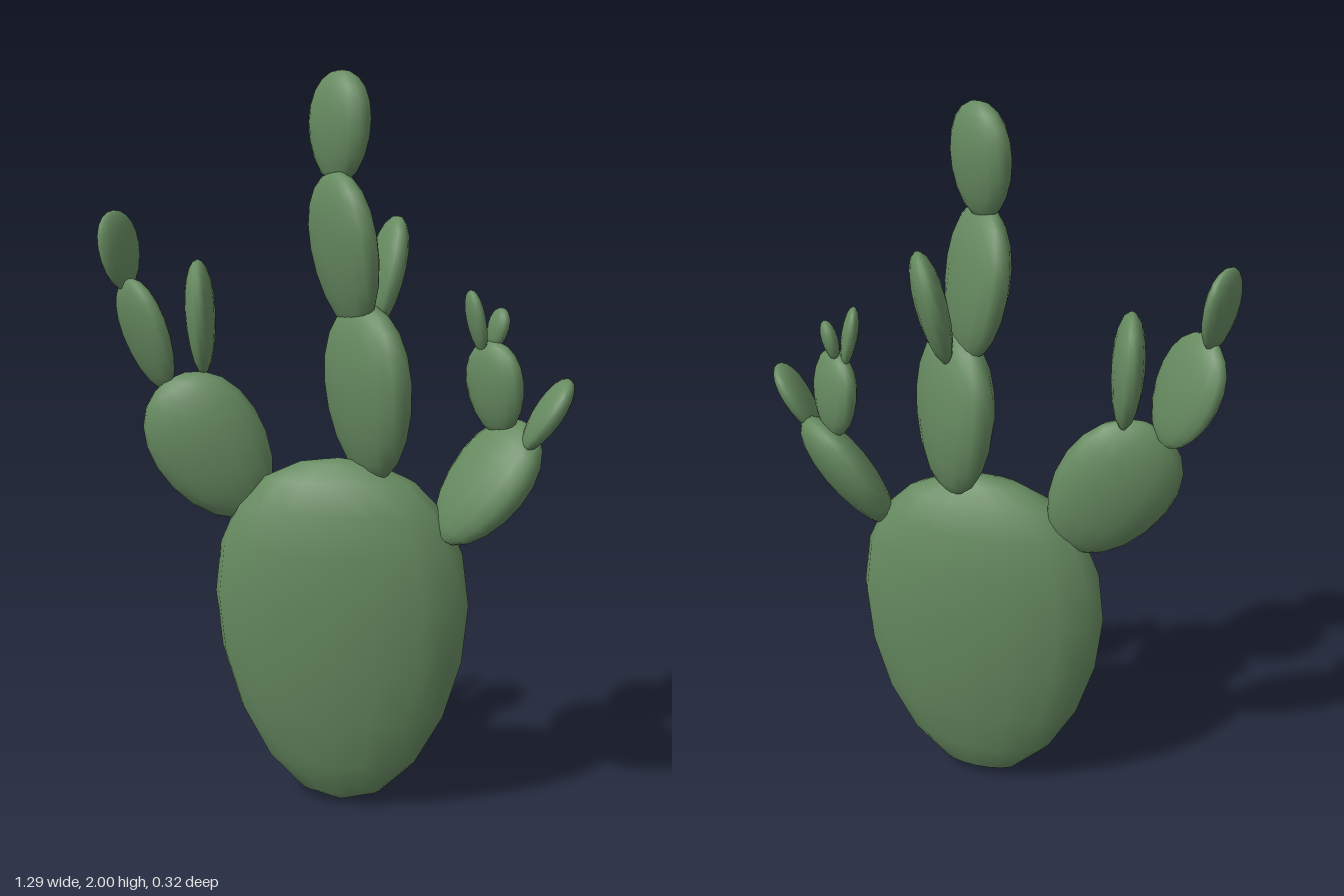
import * as THREE from 'three';
import { mergeVertices } from 'three/addons/utils/BufferGeometryUtils.js';

const material = new THREE.MeshStandardMaterial({ color: 0x668a60 });

// Flattened egg standing on the origin, one unit high; bulge lifts the widest ring above the middle
function padGeometry(length, halfWidth, halfThick, bulge) {
  let geo = new THREE.SphereGeometry(1, 16, 10);
  const pos = geo.attributes.position;
  for (let i = 0; i < pos.count; i++) {
    const s = pos.getY(i);
    const t = 0.5 + 0.5 * s + bulge * (1 - s * s);
    pos.setXYZ(i, pos.getX(i) * halfWidth, t * length, pos.getZ(i) * halfThick);
  }
  geo.deleteAttribute('uv');
  geo.deleteAttribute('normal');
  geo = mergeVertices(geo, 1e-5);
  geo.computeVertexNormals();
  return geo;
}

// A pad grows from base to tip; yaw (degrees) turns its broad side from +x towards +z
function makePad([name, base, tip, halfWidth, halfThick, yaw, bulge = 0.06]) {
  const from = new THREE.Vector3(...base);
  const axis = new THREE.Vector3(...tip).sub(from);
  const length = axis.length();
  axis.normalize();
  const a = THREE.MathUtils.degToRad(yaw);
  const across = new THREE.Vector3(Math.cos(a), 0, Math.sin(a));
  across.addScaledVector(axis, -across.dot(axis)).normalize();
  const normal = new THREE.Vector3().crossVectors(across, axis);

  const mesh = new THREE.Mesh(padGeometry(length, halfWidth, halfThick, bulge), material);
  mesh.name = name;
  mesh.quaternion.setFromRotationMatrix(new THREE.Matrix4().makeBasis(across, axis, normal));
  mesh.position.copy(from);
  return mesh;
}

// name, base, tip, half width, half thickness, yaw, bulge
const branches = {
  trunk: [
    ['trunkPad', [0.02, 0, 0.015], [0.015, 0.98, 0.015], 0.357, 0.14, 0, 0.1],
  ],
  middleBranch: [
    ['middleLowerPad', [0.11, 0.92, 0.01], [0.075, 1.4, 0.01], 0.185, 0.077, 45],
    ['middleUpperPad', [0.065, 1.325, 0.01], [-0.01, 1.74, 0], 0.165, 0.06, 50],
    ['middleTopPad', [0.01, 1.705, 0], [0.01, 2.0, -0.015], 0.112, 0.052, 36],
    ['middleSidePad', [0.1, 1.32, -0.03], [0.15, 1.625, -0.09], 0.11, 0.042, 62],
  ],
  rightBranch: [
    ['rightLowerPad', [-0.232, 0.81, 0], [-0.464, 1.18, 0.03], 0.16, 0.072, -12],
    ['rightOuterPad', [-0.475, 1.15, 0.01], [-0.59, 1.45, 0.01], 0.12, 0.042, 42],
    ['rightTopPad', [-0.59, 1.42, 0.01], [-0.62, 1.637, 0.01], 0.077, 0.03, -70],
    ['rightInnerPad', [-0.375, 1.19, -0.01], [-0.395, 1.505, -0.03], 0.117, 0.042, 72],
  ],
  leftBranch: [
    ['leftLowerPad', [0.3, 0.775, 0.04], [0.53, 1.085, 0], 0.145, 0.066, 42],
    ['leftUpperPad', [0.445, 1.055, -0.015], [0.415, 1.305, -0.015], 0.103, 0.043, 40],
    ['leftTopPad', [0.395, 1.27, -0.02], [0.36, 1.435, -0.02], 0.056, 0.022, 65],
    ['leftBudPad', [0.42, 1.28, -0.02], [0.448, 1.39, -0.02], 0.045, 0.022, 55],
    ['leftOuterPad', [0.515, 1.03, 0.05], [0.635, 1.215, 0.055], 0.082, 0.034, 72],
  ],
};

export function createModel() {
  const model = new THREE.Group();
  model.name = 'pricklyPearCactus';
  for (const [name, pads] of Object.entries(branches)) {
    const branch = new THREE.Group();
    branch.name = name;
    for (const pad of pads) branch.add(makePad(pad));
    model.add(branch);
  }
  return model;
}
